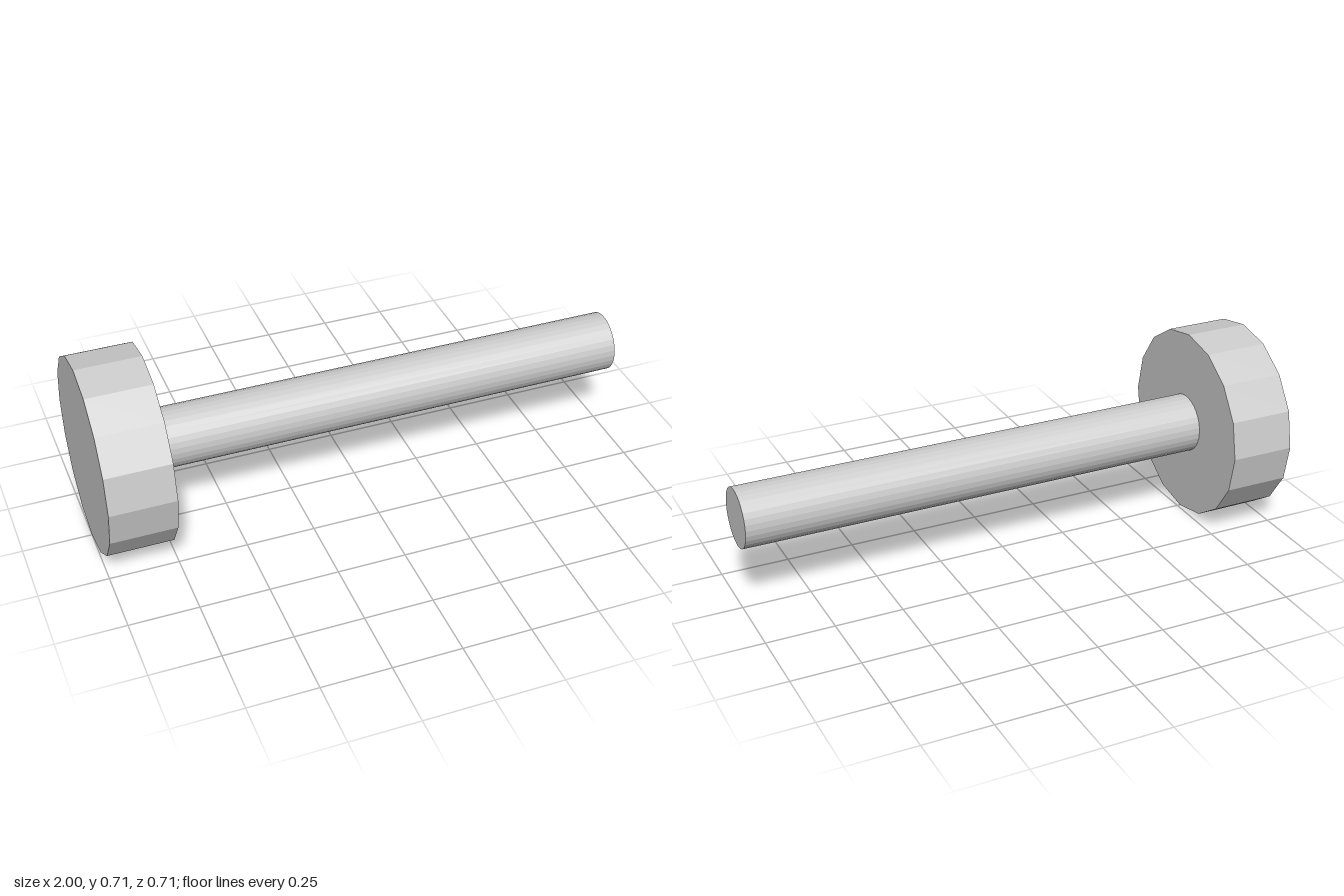
import * as THREE from 'three';

const HEAD_RADIUS = 0.356;

export function createModel() {
  const group = new THREE.Group();
  const material = new THREE.MeshStandardMaterial({ color: 0xcccccc, flatShading: true });

  // Faceted cylinder lying along x, from x0 to x1, on the common axis
  const addRod = (name, radius, x0, x1, sides) => {
    const geometry = new THREE.CylinderGeometry(radius, radius, x1 - x0, sides);
    geometry.rotateZ(-Math.PI / 2);
    const mesh = new THREE.Mesh(geometry, material);
    mesh.name = name;
    mesh.position.set((x0 + x1) / 2, HEAD_RADIUS, 0);
    group.add(mesh);
  };

  // Wide sixteen-sided head and the slim shaft that meets it
  addRod('head', HEAD_RADIUS, -1, -0.762, 16);
  addRod('shaft', 0.109, -0.762, 1, 32);

  return group;
}
